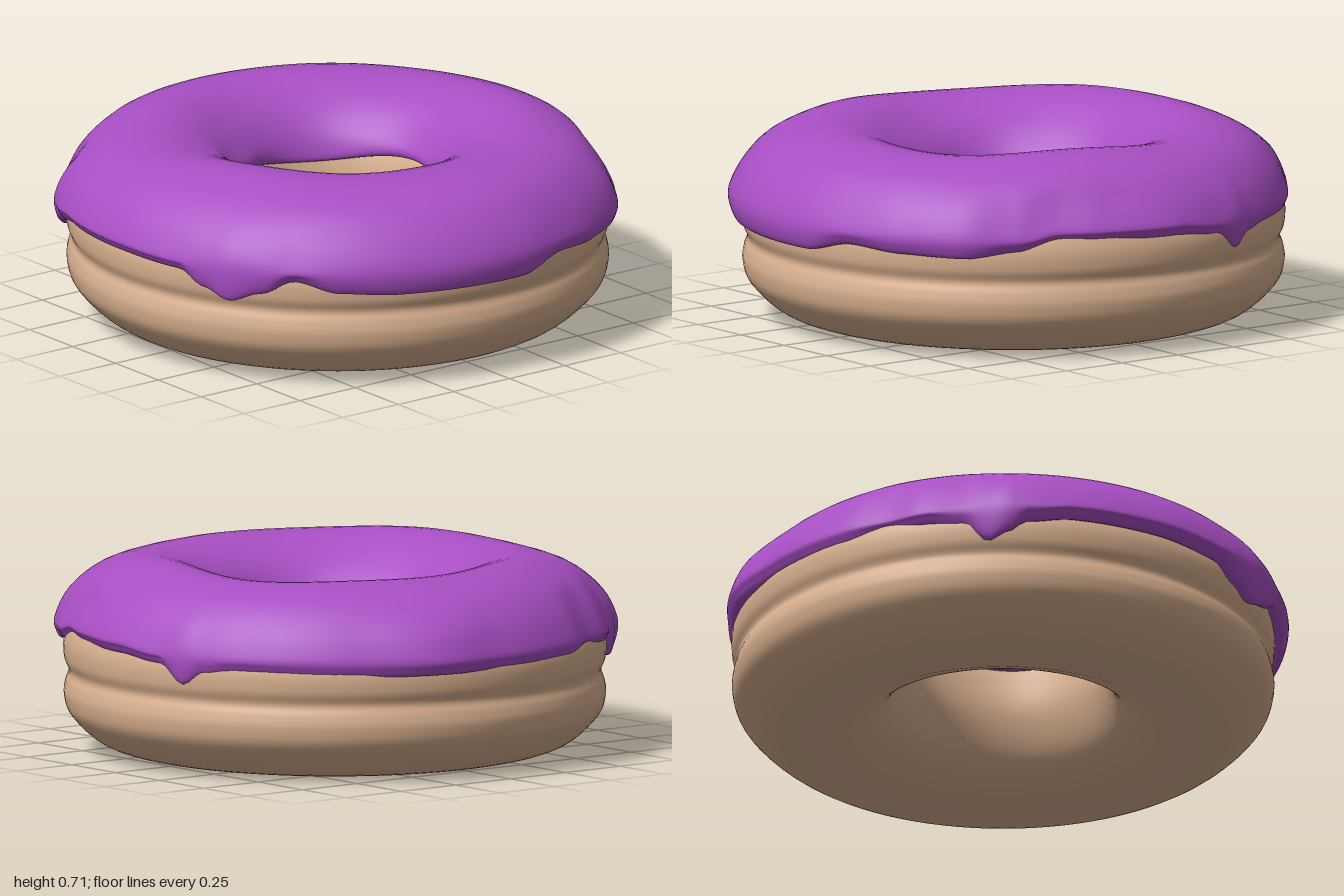
import * as THREE from 'three';

const v2 = (p) => new THREE.Vector2(p[0], p[1]);

// Icing rim around the ring: [angle in degrees from +x towards +z, lower edge y, outer radius]
const RIM = [
  [-30, 0.40, 1.0], [-23, 0.385, 1.0], [-18, 0.345, 1.005], [-12, 0.41, 1.0], [0, 0.43, 1.0],
  [17, 0.43, 0.975], [26, 0.43, 0.965], [36, 0.4, 0.985], [47, 0.38, 1.005], [60, 0.385, 0.995],
  [73, 0.4, 0.99], [85, 0.36, 0.995], [115, 0.36, 0.99], [127, 0.37, 0.99], [137, 0.41, 0.99],
  [144, 0.36, 0.995], [151, 0.325, 1.0], [157, 0.36, 0.995], [163, 0.41, 0.995], [180, 0.42, 1.0],
  [200, 0.42, 1.005], [210, 0.40, 1.01], [214, 0.36, 1.01], [218, 0.33, 0.995], [223, 0.39, 0.98],
  [232, 0.41, 0.99], [240, 0.41, 0.972], [250, 0.40, 0.99], [270, 0.40, 1.0], [286, 0.395, 1.03],
  [305, 0.39, 1.0], [330, 0.40, 1.0],
];

function rimAt(deg) {
  const i = RIM.findIndex((r, k) => k > 0 && deg <= r[0]);
  const [a, b] = [RIM[i - 1], RIM[i]];
  const t = THREE.MathUtils.smoothstep(deg, a[0], b[0]);
  return [a[1] + (b[1] - a[1]) * t, a[2] + (b[2] - a[2]) * t];
}

// Icing cross-section from the outer lip, over the top, to the lip in the hole
function icingSection(deg) {
  const [edge, R] = rimAt(deg);
  const a = THREE.MathUtils.degToRad(deg);
  const top = 0.697 + 0.008 * Math.sin(3 * a + 0.6) + 0.005 * Math.sin(5 * a);
  const hole = 0.34 + 0.008 * Math.sin(4 * a + 1);
  const lip = 0.455 + 0.02 * Math.sin(3 * a + 2);
  return new THREE.SplineCurve([
    [0.92, edge + 0.03], [R - 0.03, edge], [R - 0.006, edge + 0.025], [R, Math.max(edge + 0.05, 0.46)],
    [R - 0.05, 0.56], [0.85, 0.648], [0.7, top], [0.56, top - 0.015], [0.44, 0.62],
    [hole + 0.025, 0.54], [hole, lip + 0.025], [hole + 0.015, lip], [hole + 0.06, lip + 0.01],
  ].map(v2)).getPoints(48);
}

function icingGeometry(segments = 240) {
  const pos = [], index = [];
  let n = 0;
  for (let i = 0; i < segments; i++) {
    const deg = -30 + (360 * i) / segments;
    const a = THREE.MathUtils.degToRad(deg);
    const section = icingSection(deg);
    n = section.length;
    for (const p of section) {
      // the hole sits slightly off the centre of the outer rim
      const k = THREE.MathUtils.clamp((1 - p.x) / 0.66, 0, 1);
      pos.push(0.03 * k + p.x * Math.cos(a), p.y, -0.04 * k + p.x * Math.sin(a));
    }
    const next = (i + 1) % segments;
    for (let j = 0; j < n - 1; j++) {
      const p = i * n + j, q = next * n + j;
      index.push(p, p + 1, q, p + 1, q + 1, q);
    }
  }
  const g = new THREE.BufferGeometry();
  g.setAttribute('position', new THREE.Float32BufferAttribute(pos, 3));
  g.setIndex(index);
  g.computeVertexNormals();
  return g;
}

export function createModel() {
  const group = new THREE.Group();
  group.name = 'donut';

  // Dough ring with a shallow groove round its waist
  const profile = new THREE.SplineCurve([
    [0.6, 0.005], [0.71, 0.003], [0.84, 0.04], [0.94, 0.13], [0.965, 0.2], [0.96, 0.25], [0.948, 0.29],
    [0.965, 0.34], [0.962, 0.42], [0.91, 0.52], [0.8, 0.6], [0.66, 0.64], [0.52, 0.6],
    [0.41, 0.5], [0.37, 0.38], [0.365, 0.26], [0.41, 0.13], [0.49, 0.05], [0.6, 0.005],
  ].map(v2)).getPoints(90);
  const dough = new THREE.Mesh(
    new THREE.LatheGeometry(profile, 96),
    new THREE.MeshStandardMaterial({ color: 0xd9b08f })
  );
  dough.name = 'dough';
  dough.position.set(0.015, 0, -0.02);

  // Icing with a wavy, dripping edge
  const icing = new THREE.Mesh(
    icingGeometry(),
    new THREE.MeshStandardMaterial({ color: 0xa84fc4, side: THREE.DoubleSide })
  );
  icing.name = 'icing';

  group.add(dough, icing);
  return group;
}
